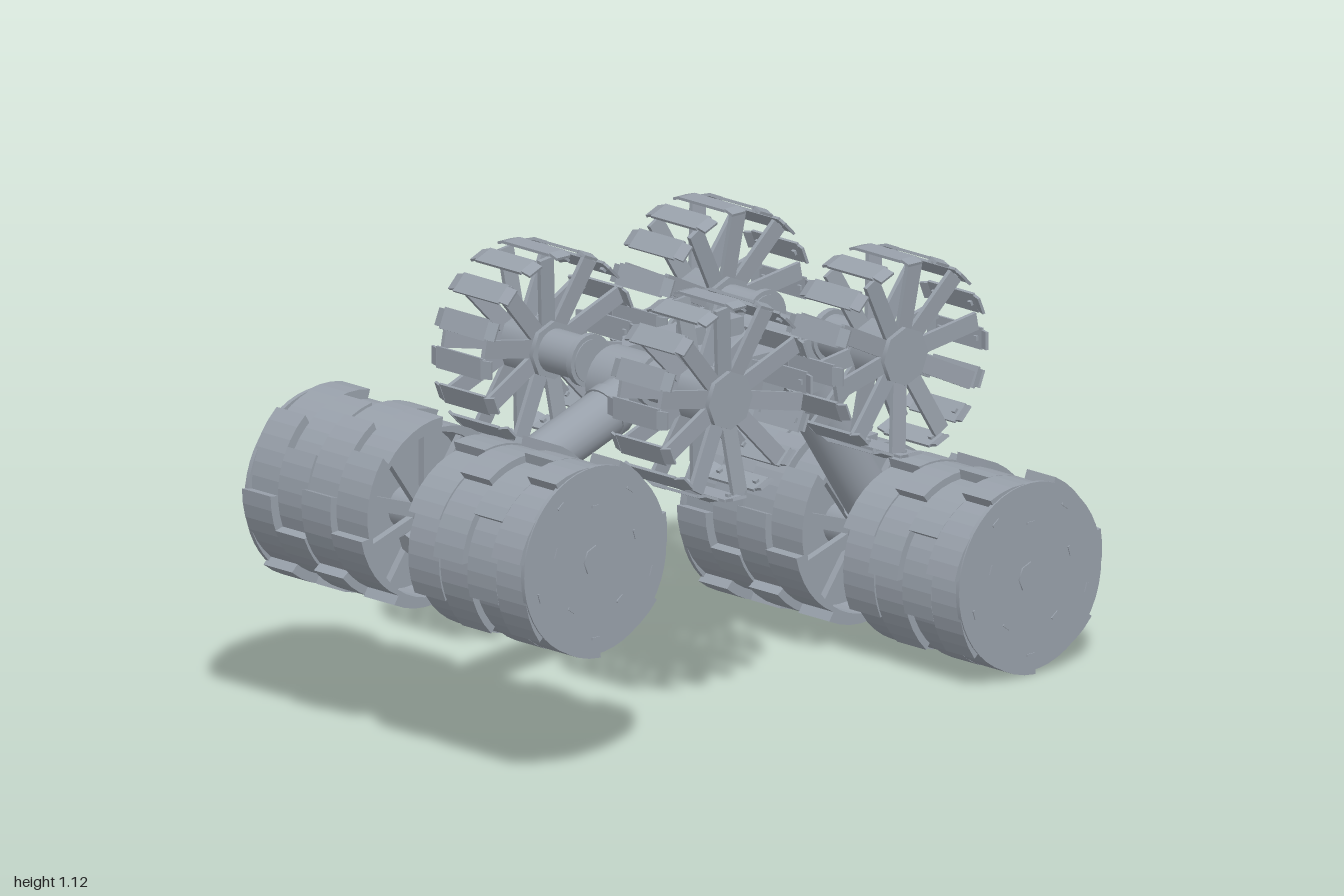
import * as THREE from 'three';

const steel = new THREE.MeshStandardMaterial({ color: 0x98a0aa });
steel.name = 'steelGrey';

function part(parent, name, geometry, x = 0, y = 0, z = 0) {
  const mesh = new THREE.Mesh(geometry, steel);
  mesh.name = name;
  mesh.position.set(x, y, z);
  parent.add(mesh);
  return mesh;
}

const box = (w, h, d) => new THREE.BoxGeometry(w, h, d);
const cylX = (r, length, sides = 24) => new THREE.CylinderGeometry(r, r, length, sides).rotateZ(-Math.PI / 2);
const outline = (points) => new THREE.Shape(points.map(([a, b]) => new THREE.Vector2(a, b)));

function group(parent, name, x = 0, y = 0, z = 0) {
  const g = new THREE.Group();
  g.name = name;
  g.position.set(x, y, z);
  parent.add(g);
  return g;
}

// Outline of overlapping curved paddles: the radius climbs, then drops at each lap
function paddleRing(phase, radius, width) {
  const points = [];
  const paddles = 7, steps = 6;
  for (let i = 0; i < paddles; i++) {
    for (let j = 0; j <= steps; j++) {
      const a = phase + ((i + j / steps) / paddles) * Math.PI * 2;
      const r = radius + 0.026 * (j / steps);
      points.push([Math.cos(a) * r, Math.sin(a) * r]);
    }
  }
  const shape = outline(points);
  const hole = new THREE.Path();
  hole.absarc(0, 0, 0.21, 0, Math.PI * 2, true);
  shape.holes.push(hole);
  return new THREE.ExtrudeGeometry(shape, { depth: width, bevelEnabled: false, curveSegments: 20 })
    .rotateY(Math.PI / 2);
}

// Drum of four paddle rings; its axis is x and it grows outward along +x
function buildDrum(parent, name, side) {
  const drum = group(parent, name);
  if (side < 0) drum.rotation.y = Math.PI;
  const edges = [0.078, 0.19, 0.295, 0.4, 0.504];
  const radii = [0.222, 0.228, 0.22, 0.23];
  radii.forEach((r, i) =>
    part(drum, 'paddleRing', paddleRing(i * 0.37 + side * 0.1, r, edges[i + 1] - edges[i]), edges[i]));
  part(drum, 'innerDisc', cylX(0.215, 0.01, 40), 0.19);
  part(drum, 'endCap', cylX(0.242, 0.012, 48), 0.502);
  part(drum, 'capNut', cylX(0.04, 0.006, 8), 0.509);
  part(drum, 'drumAxle', cylX(0.055, 0.14), 0.12);
  // Recessed spokes on the inner face and small bolts on the cap
  for (let i = 0; i < 10; i++) {
    const spoke = group(drum, 'innerSpoke');
    spoke.rotation.x = (i / 10) * Math.PI * 2;
    part(spoke, 'spokeBar', box(0.02, 0.18, 0.035), 0.105, 0.13);
    part(spoke, 'capBolt', box(0.004, 0.006, 0.025), 0.509, i % 2 ? 0.2 : 0.14);
  }
}

// Open wheel: two rows of spokes carrying sixteen bent slats
function buildWheel(parent, name, x, y, z, phase) {
  const wheel = group(parent, name, x, y, z);
  part(wheel, 'wheelHub', cylX(0.075, 0.15, 8));
  for (let i = 0; i < 10; i++) {
    const spoke = group(wheel, 'spoke');
    spoke.rotation.x = phase + (i / 10) * Math.PI * 2;
    for (const s of [-1, 1]) {
      const bar = part(spoke, 'spokeBar', box(0.012, 0.185, 0.046), s * 0.064, 0.152);
      bar.rotation.z = -s * 0.1;
    }
  }
  for (let i = 0; i < 16; i++) {
    const slat = group(wheel, 'slat');
    slat.rotation.x = (i / 16) * Math.PI * 2;
    part(slat, 'tread', box(0.165, 0.007, 0.056), 0, 0.252);
    for (const s of [-1, 1]) {
      const tab = part(slat, 'bentTab', box(0.03, 0.007, 0.046), s * 0.093, 0.249);
      tab.rotation.z = -s * 0.3;
      part(slat, 'rivet', box(0.012, 0.008, 0.012), s * 0.066, 0.245);
    }
  }
}

// One end of the vehicle: shoulder, wheel pair, arm and drum pair
function buildEnd(root, name, shoulder, axle, drum, phase) {
  const end = group(root, name);
  part(end, 'shoulder', cylX(0.09, 0.2, 28), 0, shoulder.y, shoulder.z);
  for (const s of [-1, 1]) {
    part(end, 'shoulderFlange', cylX(0.08, 0.014, 28), s * 0.106, shoulder.y, shoulder.z);
    part(end, 'axle', cylX(0.056, 0.14), s * 0.18, axle.y, axle.z);
    part(end, 'axleCollar', cylX(0.068, 0.018), s * 0.122, axle.y, axle.z);
    buildWheel(end, s > 0 ? 'leftWheel' : 'rightWheel', s * 0.32, axle.y, axle.z, phase);
  }

  // Arm frame: local y runs from the shoulder to the drum
  const dir = drum.clone().sub(shoulder);
  const length = dir.length();
  const arm = group(end, 'arm', 0, shoulder.y, shoulder.z);
  arm.quaternion.setFromUnitVectors(new THREE.Vector3(0, 1, 0), dir.normalize());
  part(arm, 'armTube', new THREE.CylinderGeometry(0.064, 0.064, length, 20), 0, length / 2);
  for (const t of [0.115, length - 0.115])
    part(arm, 'armCollar', new THREE.CylinderGeometry(0.069, 0.069, 0.03, 20), 0, t);
  for (const s of [-1, 1]) {
    part(arm, 'boltShaft', new THREE.CylinderGeometry(0.022, 0.022, 0.08, 10), s * 0.034, length + 0.09);
    part(arm, 'boltHead', new THREE.CylinderGeometry(0.031, 0.031, 0.035, 6), s * 0.034, length + 0.12);
  }

  const drums = group(end, 'drumPair', 0, drum.y, drum.z);
  part(drums, 'drumJoint', cylX(0.068, 0.14, 24));
  buildDrum(drums, 'leftDrum', 1);
  buildDrum(drums, 'rightDrum', -1);
}

function buildBody(root) {
  const body = group(root, 'body', 0, 0, -0.12);
  // Deck whose four corner wings reach past the notches for the shoulders
  const deck = outline([
    [-0.18, -0.13], [-0.118, -0.19], [-0.1, -0.19], [-0.1, -0.12],
    [0.1, -0.12], [0.1, -0.19], [0.118, -0.19], [0.18, -0.13],
    [0.18, 0.13], [0.118, 0.19], [0.1, 0.19], [0.1, 0.12],
    [-0.1, 0.12], [-0.1, 0.19], [-0.118, 0.19], [-0.18, 0.13],
  ]);
  part(body, 'deck', new THREE.ExtrudeGeometry(deck, { depth: 0.095, bevelEnabled: false })
    .rotateX(-Math.PI / 2), 0, 0.8);
  // Tapered belly
  const belly = outline([
    [-0.11, 0.81], [-0.1, 0.78], [-0.06, 0.72], [0.06, 0.72], [0.1, 0.78], [0.11, 0.81],
  ]);
  part(body, 'belly', new THREE.ExtrudeGeometry(belly, { depth: 0.32, bevelEnabled: false })
    .rotateY(Math.PI / 2), -0.16);
  for (const s of [-1, 1]) {
    // Brackets beside the shoulders
    for (const e of [-1, 1])
      part(body, 'sideBracket', box(0.018, 0.08, 0.1), s * 0.113, 0.84, e * 0.22);
    // Lifting lug on the deck
    part(body, 'lugBlock', box(0.06, 0.045, 0.045), 0, 0.925, s * 0.065);
  }
  part(body, 'lugBar', box(0.025, 0.03, 0.1), 0, 0.905);
}

export function createModel() {
  const root = new THREE.Group();
  root.name = 'rover';
  const v = (y, z) => new THREE.Vector3(0, y, z);
  buildBody(root);
  buildEnd(root, 'frontEnd', v(0.82, 0.12), v(0.877, 0.18), v(0.596, 0.747), 0.12);
  buildEnd(root, 'rearEnd', v(0.82, -0.37), v(0.877, -0.417), v(0.272, -0.733), -0.12);
  return root;
}
